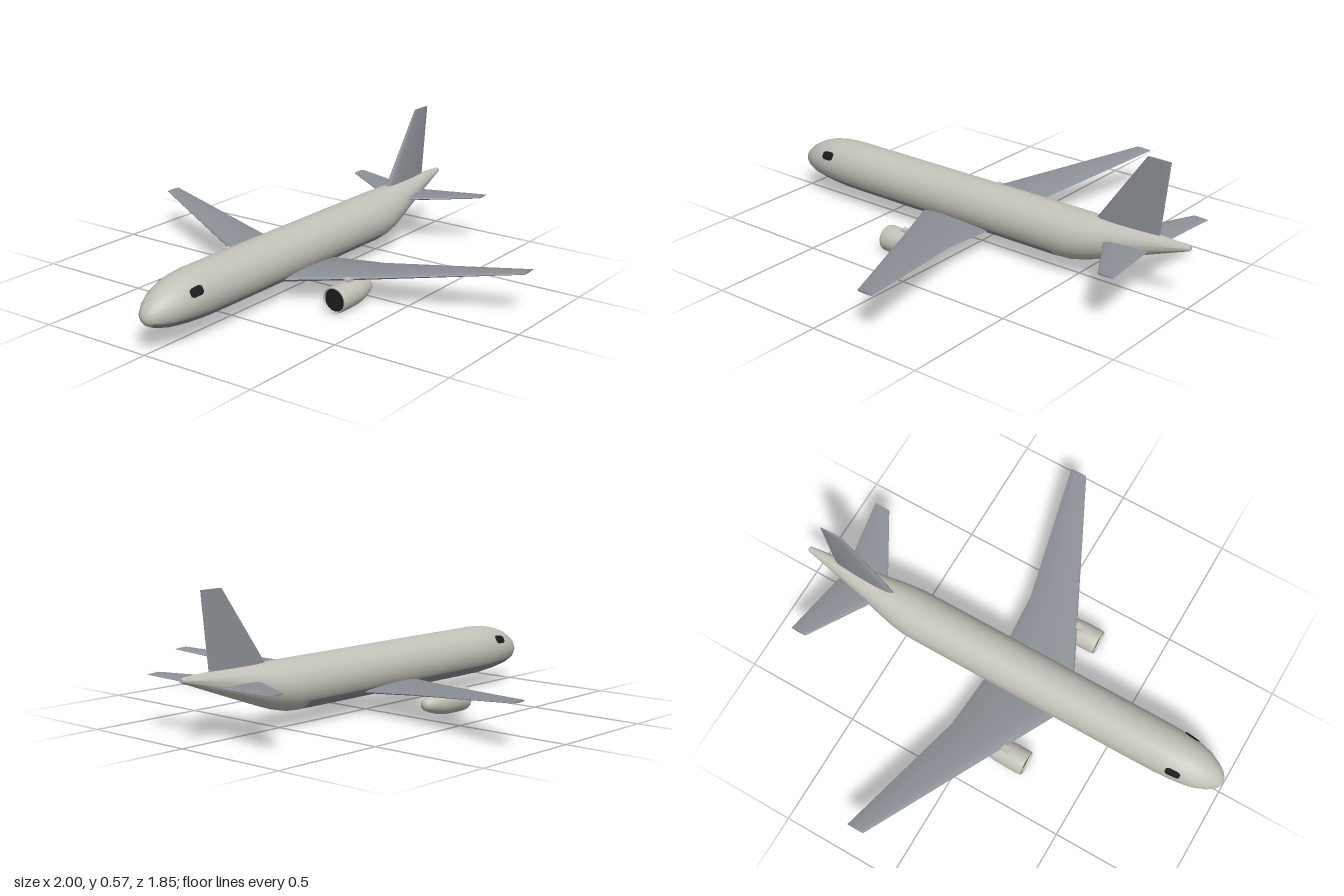
import * as THREE from 'three';
import { toCreasedNormals } from 'three/addons/utils/BufferGeometryUtils.js';

const mat = (name, color, side = THREE.FrontSide) => {
  const m = new THREE.MeshStandardMaterial({ color, side });
  m.name = name;
  return m;
};

// Fuselage stations: x, top, bottom, half width
const BODY = [
  [-1, 0.14, 0.14, 0], [-0.995, 0.162, 0.122, 0.02], [-0.98, 0.182, 0.108, 0.04],
  [-0.95, 0.208, 0.093, 0.061], [-0.9, 0.236, 0.08, 0.083], [-0.85, 0.253, 0.073, 0.094],
  [-0.8, 0.263, 0.067, 0.1], [-0.72, 0.27, 0.061, 0.104], [-0.6, 0.27, 0.06, 0.105],
  [0.42, 0.27, 0.06, 0.105], [0.48, 0.27, 0.064, 0.104], [0.55, 0.27, 0.08, 0.095],
  [0.61, 0.27, 0.1, 0.083], [0.7, 0.27, 0.133, 0.064], [0.85, 0.269, 0.188, 0.036],
  [0.96, 0.265, 0.229, 0.018], [1, 0.262, 0.243, 0.011], [1, 0.253, 0.253, 0],
];
const SEGMENTS = 32;

// Point on the fuselage skin at length x and angle a (0 = left side, up is positive)
function skin([x, top, bottom, half], a, offset = 0) {
  return [x, (top + bottom) / 2 + Math.sin(a) * ((top - bottom) / 2 + offset), Math.cos(a) * (half + offset)];
}

function stationAt(x) {
  const i = BODY.findIndex((s) => s[0] >= x);
  const a = BODY[i - 1], b = BODY[i];
  const t = (x - a[0]) / (b[0] - a[0]);
  return a.map((v, k) => v + (b[k] - v) * t);
}

// Joins rings of points; pick(i, j) chooses the material group of each quad
function loft(rings, { closed = true, flip = false, caps = false, pick = () => 0 } = {}) {
  const n = rings[0].length;
  const groups = [[], []];
  const tri = (g, a, b, c) => groups[g].push(...(flip ? [a, c, b] : [a, b, c]));
  for (let i = 0; i < rings.length - 1; i++) {
    for (let j = 0; j < (closed ? n : n - 1); j++) {
      const k = (j + 1) % n;
      const a = i * n + j, b = a + n, c = (i + 1) * n + k, d = i * n + k;
      tri(pick(i, j), a, b, c);
      tri(pick(i, j), a, c, d);
    }
  }
  if (caps) {
    const last = (rings.length - 1) * n;
    for (let j = 1; j < n - 1; j++) {
      tri(0, 0, j, j + 1);
      tri(0, last, last + j + 1, last + j);
    }
  }
  const geo = new THREE.BufferGeometry();
  geo.setAttribute('position', new THREE.Float32BufferAttribute(rings.flat(2), 3));
  geo.setIndex(groups.flat());
  geo.addGroup(0, groups[0].length, 0);
  if (groups[1].length) geo.addGroup(groups[0].length, groups[1].length, 1);
  return toCreasedNormals(geo, 0.6);
}

// Half aerofoil: fraction of chord, fraction of half thickness
const FOIL = [[0, 0], [0.02, 0.4], [0.08, 0.7], [0.2, 0.95], [0.38, 1], [0.65, 0.8], [0.94, 0.38], [1, 0]];

// Surface stations: span z, height y, leading x, trailing x, thickness
function aerofoil(stations, side = 1) {
  const rings = stations.map(([z, y, lead, trail, thick]) => {
    const point = ([c, t], s) => [lead + (trail - lead) * c, y + (s * t * thick) / 2, z * side];
    const upper = FOIL.map((p) => point(p, 1));
    const lower = FOIL.slice(1, -1).reverse().map((p) => point(p, -1));
    return [...upper, ...lower];
  });
  return loft(rings, { flip: side < 0, caps: true });
}

export function createModel() {
  const hull = mat('warm light grey', 0xc2c2b8);
  const grey = mat('cool grey', 0x8c9197);
  const dark = mat('near black', 0x1c1c1c, THREE.DoubleSide);

  const model = new THREE.Group();
  model.name = 'airliner';
  const add = (name, geometry, material, parent = model) => {
    const mesh = new THREE.Mesh(geometry, material);
    mesh.name = name;
    parent.add(mesh);
    return mesh;
  };

  // Fuselage with grey belly
  const rings = BODY.map((s) => Array.from({ length: SEGMENTS }, (_, j) => skin(s, (j / SEGMENTS) * Math.PI * 2)));
  const belly = (i, j) => (i >= 2 && i < 9 && j >= 19 && j < 29 ? 1 : 0);
  add('fuselage', loft(rings, { pick: belly }), [hull, grey]);

  // Tail fin, drawn flat and stood upright
  const fin = add('tailFin', aerofoil([
    [0.24, 0, 0.557, 0.862, 0.03], [0.575, 0, 0.795, 0.9, 0.009],
  ]), grey);
  fin.rotation.x = -Math.PI / 2;

  for (const side of [1, -1]) {
    const label = side > 0 ? 'left' : 'right';

    add(label + 'Wing', aerofoil([
      [0, 0.085, -0.294, 0.083, 0.045], [0.33, 0.116, -0.131, 0.1, 0.029], [0.925, 0.18, 0.16, 0.235, 0.009],
    ], side), grey);

    add(label + 'Tailplane', aerofoil([
      [0, 0.2, 0.613, 0.828, 0.024], [0.335, 0.22, 0.81, 0.88, 0.008],
    ], side), grey);

    // Cockpit window, a curved plate just above the skin
    const pane = [[-0.835, 0.6], [-0.822, 1], [-0.782, 1], [-0.77, 0.6]].map(([x, h]) =>
      Array.from({ length: 5 }, (_, j) => {
        const p = skin(stationAt(x), 0.49 + (j / 4 - 0.5) * 0.38 * h, 0.003);
        return [p[0], p[1], p[2] * side];
      }));
    add(label + 'CockpitWindow', loft(pane, { closed: false, flip: side < 0 }), dark);

    // Engine: cowl with tapered exhaust, intake and pylon
    const engine = new THREE.Group();
    engine.name = label + 'Engine';
    engine.position.set(0, 0.055, 0.312 * side);
    model.add(engine);
    const profile = [
      [0.046, -0.235], [0.049, -0.25], [0.053, -0.246], [0.055, -0.23], [0.055, -0.185],
      [0.053, -0.12], [0.047, -0.085], [0.034, -0.04], [0.023, -0.012], [0.012, -0.002], [0, 0],
    ].map(([r, x]) => new THREE.Vector2(r, x));
    add('cowl', new THREE.LatheGeometry(profile, 28), hull, engine).rotation.z = -Math.PI / 2;
    const intake = add('intake', new THREE.CircleGeometry(0.047, 28), dark, engine);
    intake.rotation.y = -Math.PI / 2;
    intake.position.x = -0.24;
    add('pylon', new THREE.BoxGeometry(0.14, 0.03, 0.024), hull, engine).position.set(-0.095, 0.05, 0);
  }

  return model;
}
